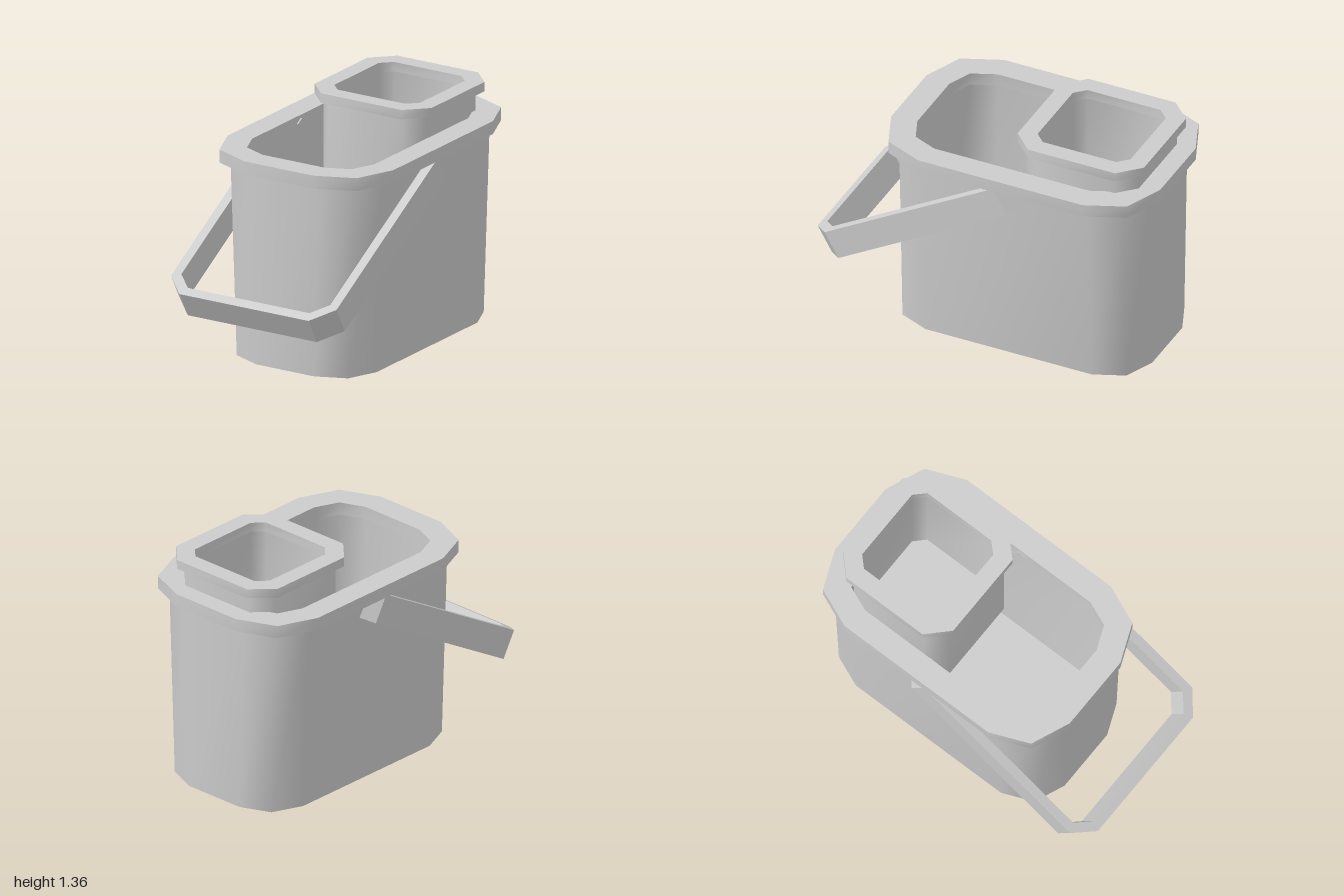
import * as THREE from 'three';
import { toCreasedNormals } from 'three/addons/utils/BufferGeometryUtils.js';

const material = new THREE.MeshStandardMaterial({ color: 0xcccccc });

// Rectangle outline with each corner rounded in n straight steps
function outline(hx, hz, r, n) {
  const pts = [];
  [[1, 1], [-1, 1], [-1, -1], [1, -1]].forEach(([sx, sz], k) => {
    for (let i = 0; i <= n; i++) {
      const a = (k + i / n) * Math.PI / 2;
      pts.push([sx * (hx - r) + r * Math.cos(a), sz * (hz - r) + r * Math.sin(a)]);
    }
  });
  return pts;
}

// Skin through rings [y, halfX, halfZ, cornerRadius]; a zero-size ring closes a cap
function shell(name, rings, steps, x, z) {
  const loops = rings.map(([y, hx, hz, r]) =>
    outline(hx, hz, r, steps).map(([px, pz]) => new THREE.Vector3(px, y, pz)));
  const pos = [];
  const tri = (...v) => {
    const area = new THREE.Triangle(...v).getArea();
    if (area > 1e-8) v.forEach(p => pos.push(p.x, p.y, p.z));
  };
  for (let i = 0; i < loops.length - 1; i++) {
    const lo = loops[i], hi = loops[i + 1];
    lo.forEach((a, j) => {
      const k = (j + 1) % lo.length;
      tri(a, hi[j], lo[k]);
      tri(lo[k], hi[j], hi[k]);
    });
  }
  const geo = new THREE.BufferGeometry();
  geo.setAttribute('position', new THREE.Float32BufferAttribute(pos, 3));
  const mesh = new THREE.Mesh(toCreasedNormals(geo, 0.9), material);
  mesh.name = name;
  mesh.position.set(x, 0, z);
  return mesh;
}

// Closed collar with a flat top and bottom
function collar(name, y0, y1, outer, inner, steps, x, z) {
  return shell(name, [
    [y0, ...inner], [y0, ...outer], [y1, ...outer], [y1, ...inner], [y0, ...inner],
  ], steps, x, z);
}

// Hollow vessel, open at the top
function vessel(name, y0, y1, floor, outer0, outer1, inner0, inner1, steps, x, z) {
  return shell(name, [
    [y0, 0, 0, 0], [y0, ...outer0], [y1, ...outer1],
    [y1, ...inner1], [floor, ...inner0], [floor, 0, 0, 0],
  ], steps, x, z);
}

// Flat strap handle: mirrored U outline, ends turned inward through the walls
function handle() {
  const L = 1.384;
  const outer = [[0.395, 0], [0.465, 0], [0.545, 0.08], [0.545, L - 0.115], [0.425, L]];
  const inner = [[0.4, L - 0.055], [0.49, L - 0.14], [0.49, 0.1], [0.44, 0.05], [0.395, 0.05]];
  const flip = list => list.map(([x, s]) => [-x, s]).reverse();
  const pts = [...outer, ...flip(outer), ...flip(inner), ...inner];
  const shape = new THREE.Shape(pts.map(([x, s]) => new THREE.Vector2(x, s)));
  const geo = new THREE.ExtrudeGeometry(shape, { depth: 0.17, bevelEnabled: false });
  const mesh = new THREE.Mesh(geo, material);
  mesh.name = 'handle';
  mesh.rotation.x = Math.PI * 2 / 3;
  mesh.position.set(0, 1.177, -0.195);
  return mesh;
}

export function createModel() {
  const group = new THREE.Group();
  group.name = 'mopBucket';

  // Bucket with slightly tapering sides and a wide rim
  const bz = -0.175;
  group.add(vessel('bucketBody', 0, 1.12, 0.08,
    [0.44, 0.76, 0.25], [0.48, 0.76, 0.25],
    [0.37, 0.675, 0.2], [0.403, 0.675, 0.2], 2, 0, bz));
  group.add(collar('bucketRim', 1.12, 1.195,
    [0.546, 0.825, 0.32], [0.403, 0.675, 0.2], 2, 0, bz));

  // Wringer cup standing in the back of the bucket
  const cx = 0.02, cz = -0.5425;
  group.add(vessel('wringerCup', 0.55, 1.305, 0.61,
    [0.3425, 0.345, 0.1], [0.3425, 0.345, 0.1],
    [0.2825, 0.285, 0.06], [0.2825, 0.285, 0.06], 1, cx, cz));
  group.add(collar('wringerRim', 1.305, 1.36,
    [0.385, 0.3875, 0.12], [0.2825, 0.285, 0.06], 1, cx, cz));

  group.add(handle());
  return group;
}
